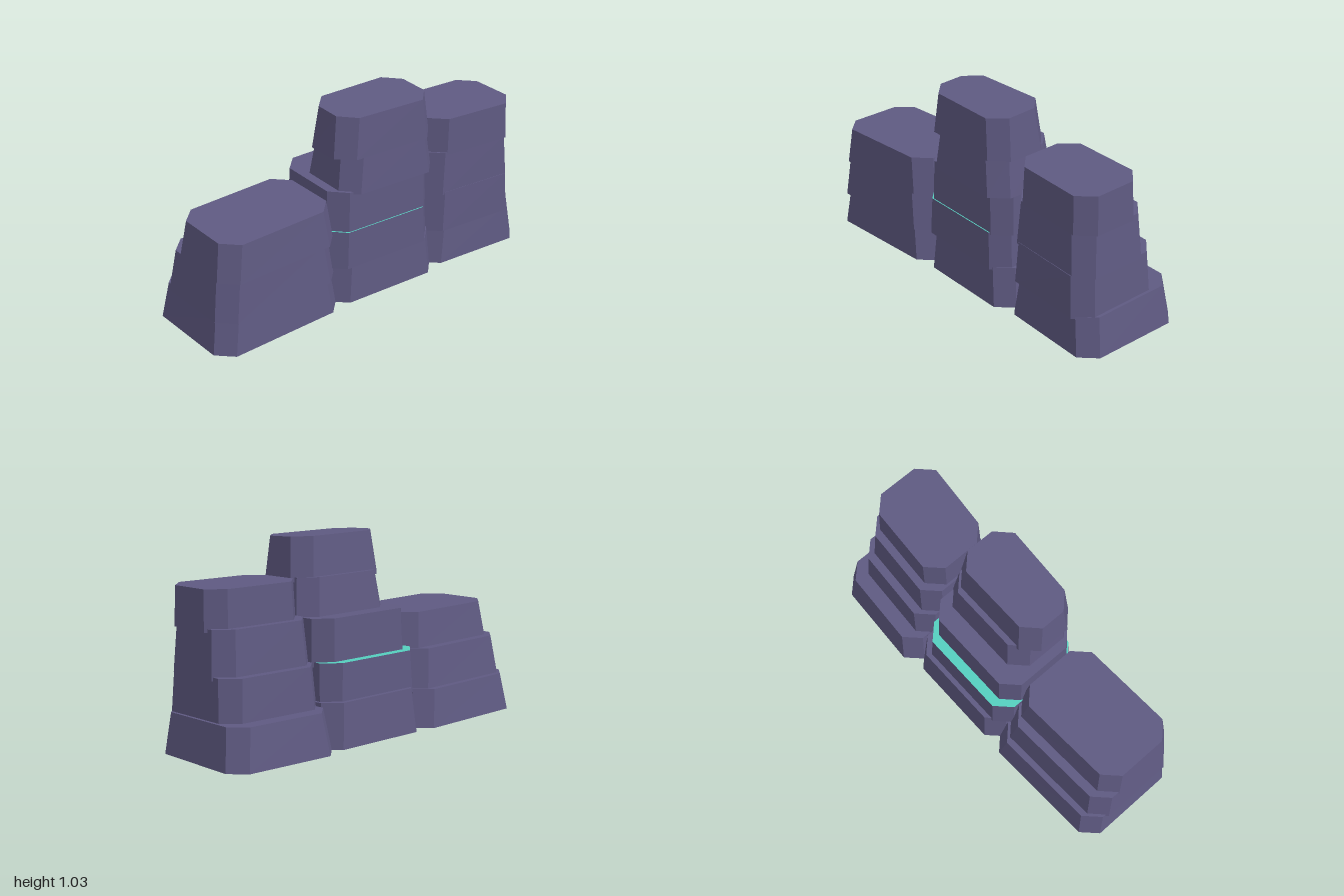
import * as THREE from 'three';

const stone = new THREE.MeshStandardMaterial({ color: 0x5f5a82, flatShading: true });
stone.name = 'slate purple stone';
const moss = new THREE.MeshStandardMaterial({ color: 0x55d0bf, flatShading: true });
moss.name = 'teal ledge';

// Chamfered outline, counter-clockwise from above; the back and front edges are skewed
function ring(x0, x1, back, front, [skewBack, skewFront], yBack, yFront) {
  const cx = 0.08, cz = 0.08;
  const bl = back - skewBack, br = back + skewBack;
  const fl = front - skewFront, fr = front + skewFront;
  const plan = [
    [x0, fl - cz], [x0 + cx, fl], [x1 - cx, fr], [x1, fr - cz],
    [x1, br + cz], [x1 - cx, br], [x0 + cx, bl], [x0, bl + cz],
  ];
  return plan.map(([x, z]) => [x, yBack + (yFront - yBack) * (z - back) / (front - back), z]);
}

// One stone between two rings: group 0 is sides and base, group 1 is the top face
function stoneBlock(lower, upper) {
  const p = [];
  const tri = (a, b, c) => p.push(...a, ...b, ...c);
  lower.forEach((corner, i) => {
    const j = (i + 1) % lower.length;
    tri(corner, lower[j], upper[j]);
    tri(corner, upper[j], upper[i]);
  });
  for (let i = 1; i < 7; i++) tri(lower[0], lower[i + 1], lower[i]);
  const bodyCount = p.length / 3;
  for (let i = 1; i < 7; i++) tri(upper[0], upper[i], upper[i + 1]);
  const g = new THREE.BufferGeometry();
  g.setAttribute('position', new THREE.Float32BufferAttribute(p, 3));
  g.addGroup(0, bodyCount, 0);
  g.addGroup(bodyCount, p.length / 3 - bodyCount, 1);
  g.computeVertexNormals();
  return g;
}

// Stacks layers [x0, x1, back, front, taper, top]; each stone sits slightly inside the one below
function buildStack(name, skew, tilt, layers, mossLayer) {
  const stack = new THREE.Group();
  stack.name = name;
  let base = 0;
  layers.forEach(([x0, x1, back, front, taper, top], i) => {
    const lower = ring(x0, x1, back, front, skew, base, base);
    const upper = ring(x0 + taper, x1 - taper, back + taper, front - taper * 0.5, skew, top + tilt, top);
    const mesh = new THREE.Mesh(stoneBlock(lower, upper), [stone, i === mossLayer ? moss : stone]);
    mesh.name = `stoneLayer${i + 1}`;
    stack.add(mesh);
    base = top - 0.012;
  });
  return stack;
}

export function createModel() {
  const model = new THREE.Group();
  model.name = 'steppedRockCliff';
  model.add(
    buildStack('lowStack', [-0.012, -0.01], 0.008, [
      [-1, -0.235, -0.295, 0.32, 0.03, 0.19],
      [-0.985, -0.25, -0.235, 0.32, 0.03, 0.395],
      [-0.96, -0.25, -0.16, 0.315, 0.028, 0.58],
    ]),
    buildStack('tallStack', [0, 0.012], 0.016, [
      [-0.27, 0.4, -0.3, 0.305, 0.02, 0.215],
      [-0.285, 0.365, -0.255, 0.305, 0.01, 0.405],
      [-0.27, 0.365, -0.195, 0.295, 0.008, 0.62],
      [-0.215, 0.37, -0.09, 0.32, 0.027, 0.81],
      [-0.235, 0.36, -0.035, 0.31, 0.025, 1.01],
    ], 1),
    buildStack('middleHeightStack', [0.012, 0.018], 0.008, [
      [0.36, 1, -0.325, 0.305, 0.03, 0.205],
      [0.365, 0.955, -0.218, 0.305, 0.015, 0.415],
      [0.365, 0.945, -0.16, 0.295, 0.018, 0.637],
      [0.395, 0.94, -0.1, 0.288, 0.008, 0.823],
    ]),
  );
  return model;
}
